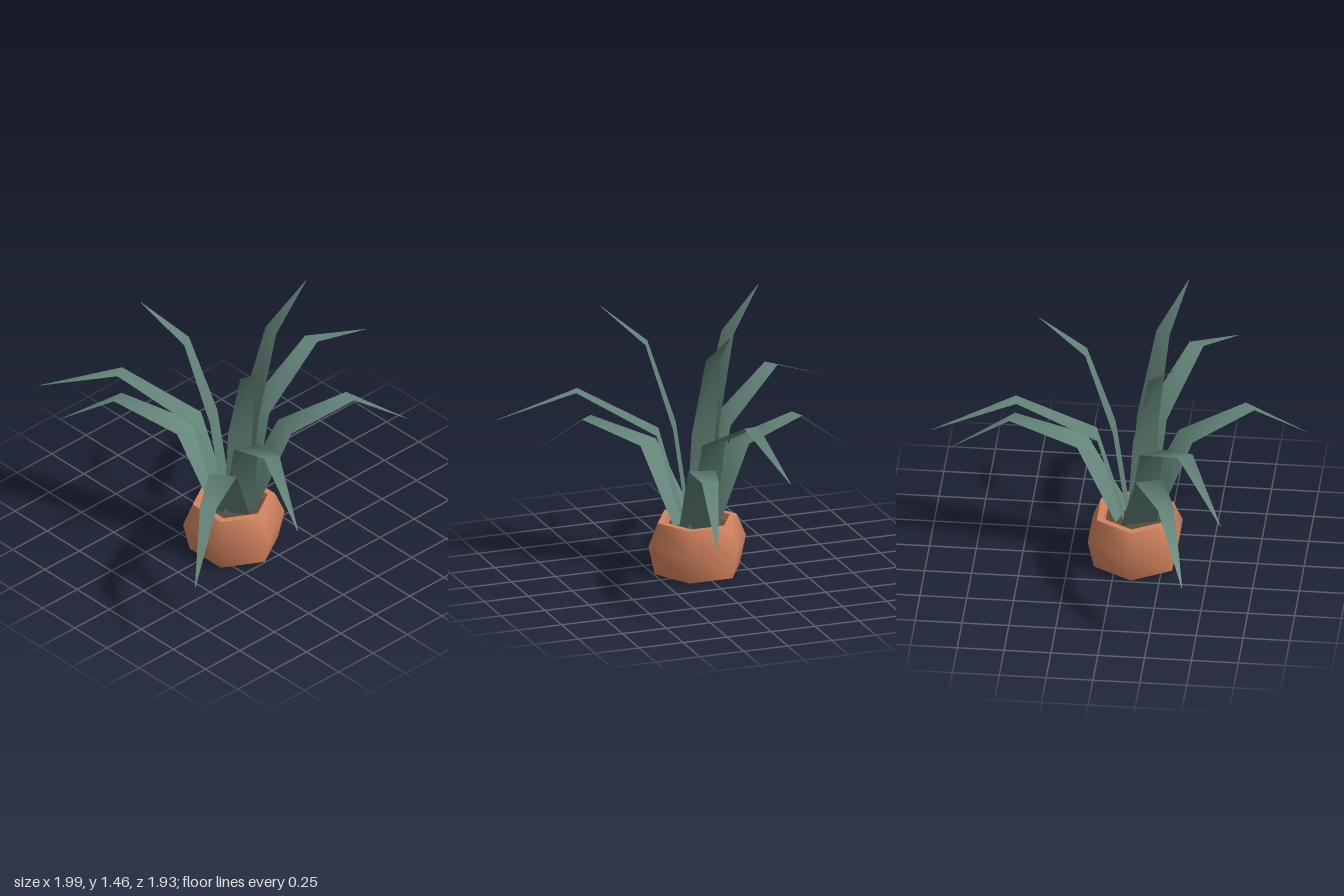
import * as THREE from 'three';

const CX = 0.01, CZ = 0.1; // centre of the pot

const terracotta = new THREE.MeshStandardMaterial({ color: 0xd4845f, side: THREE.DoubleSide });
terracotta.name = 'terracotta';
const leafGreen = new THREE.MeshStandardMaterial({ color: 0x628377, side: THREE.DoubleSide });
leafGreen.name = 'leafGreen';
const soilBrown = new THREE.MeshStandardMaterial({ color: 0x5a4a38 });
soilBrown.name = 'soilBrown';

// Six-sided turned piece with corners on the left and right
function hexLathe(name, points, material) {
  const profile = points.map(([r, y]) => new THREE.Vector2(r, y));
  const mesh = new THREE.Mesh(new THREE.LatheGeometry(profile, 6, Math.PI / 6), material);
  mesh.name = name;
  mesh.position.set(CX - 0.006, 0, CZ - 0.002);
  return mesh;
}

// Folded ribbon leaf: stations are [distance from centre, height, half width]
function leaf(name, stations, tipX, tipZ) {
  const dx = tipX - CX, dz = tipZ - CZ;
  const reach = Math.hypot(dx, dz);
  const ux = dx / reach, uz = dz / reach;
  const positions = [], index = [];
  stations.forEach(([d, y, w], i) => {
    const r = i === stations.length - 1 ? reach : d;
    for (const s of [-1, 1]) {
      positions.push(CX + ux * r - uz * w * s, y, CZ + uz * r + ux * w * s);
    }
    if (i > 0) {
      const a = 2 * (i - 1);
      index.push(a, a + 1, a + 2, a + 1, a + 3, a + 2);
    }
  });
  const geometry = new THREE.BufferGeometry();
  geometry.setAttribute('position', new THREE.Float32BufferAttribute(positions, 3));
  geometry.setIndex(index);
  geometry.computeVertexNormals();
  const mesh = new THREE.Mesh(geometry, leafGreen);
  mesh.name = name;
  return mesh;
}

// Three whorls of three leaves, from upright to drooping
const whorls = [
  {
    name: 'upperLeaf',
    stations: [[0.035, 0.24, 0.068], [0.115, 0.8, 0.067], [0.265, 1.26, 0.042], [0.52, 1.46, 0.002]],
    tips: [[0.013, -0.417], [-0.441, 0.358], [0.468, 0.337]],
  },
  {
    name: 'middleLeaf',
    stations: [[0.06, 0.24, 0.08], [0.205, 0.765, 0.07], [0.635, 0.987, 0.043], [1.08, 0.805, 0.002]],
    tips: [[-0.12, -0.975], [-0.928, 0.647], [0.987, 0.551]],
  },
  {
    name: 'lowerLeaf',
    stations: [[0.07, 0.24, 0.1], [0.305, 0.655, 0.074], [0.7, 0.72, 0.045], [1.06, 0.447, 0.002]],
    tips: [[0.275, -0.925], [-0.997, 0.449], [0.623, 0.957]],
  },
];

export function createModel() {
  const model = new THREE.Group();
  model.name = 'pottedPlant';

  // Pot
  const pot = new THREE.Group();
  pot.name = 'pot';
  pot.add(
    hexLathe('potBase', [[0, 0], [0.241, 0]], terracotta),
    hexLathe('potWall', [[0.241, 0], [0.277, 0.16], [0.224, 0.285]], terracotta),
    hexLathe('potRim', [[0.224, 0.285], [0.185, 0.285]], terracotta),
    hexLathe('potInside', [[0.185, 0.285], [0.175, 0.245]], terracotta),
    hexLathe('soil', [[0.178, 0.25], [0, 0.25]], soilBrown),
  );
  model.add(pot);

  // Leaves
  for (const { name, stations, tips } of whorls) {
    tips.forEach(([x, z], i) => model.add(leaf(name + (i + 1), stations, x, z)));
  }
  return model;
}
